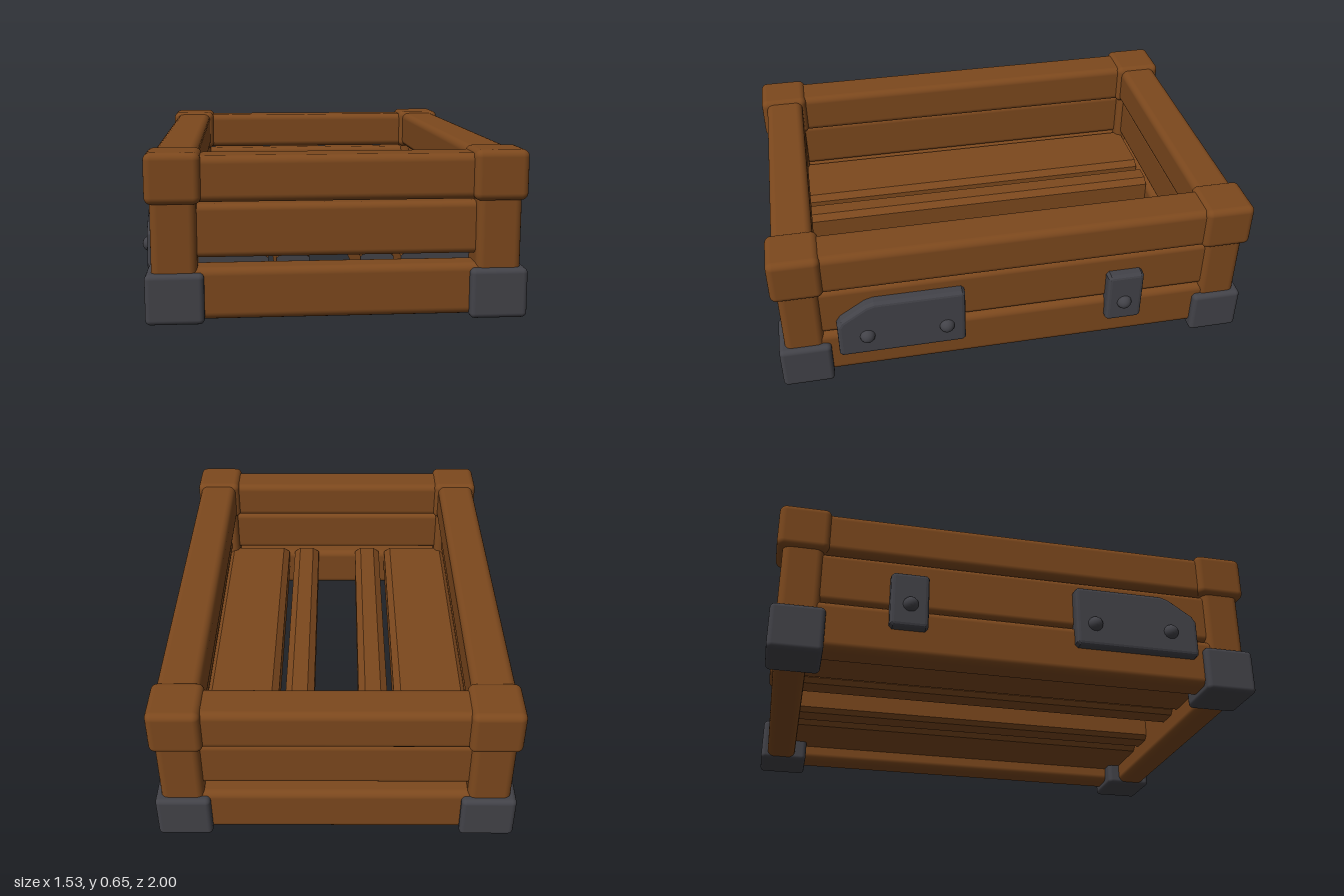
import * as THREE from 'three';
import { RoundedBoxGeometry } from 'three/addons/geometries/RoundedBoxGeometry.js';

export function createModel() {
  const crate = new THREE.Group();
  crate.name = 'crate';
  const wood = new THREE.MeshStandardMaterial({ color: 0x7c481d });
  wood.name = 'brown wood';
  const iron = new THREE.MeshStandardMaterial({ color: 0x424248 });
  iron.name = 'dark iron';

  const add = (name, geometry, material, x = 0, y = 0, z = 0) => {
    const mesh = new THREE.Mesh(geometry, material);
    mesh.name = name;
    mesh.position.set(x, y, z);
    crate.add(mesh);
    return mesh;
  };
  // Rounded block given by its centre and its height range
  const block = (name, material, x, z, w, d, y0, y1, r) =>
    add(name, new RoundedBoxGeometry(w, y1 - y0, d, 4, r), material, x, (y0 + y1) / 2, z);

  // Corner posts with wooden tops and iron feet
  for (const sx of [-1, 1]) {
    for (const sz of [-1, 1]) {
      block('cornerPost', wood, sx * 0.618, sz * 0.893, 0.174, 0.164, 0.1, 0.56, 0.03);
      block('cornerTop', wood, sx * 0.617, sz * 0.895, 0.21, 0.21, 0.462, 0.656, 0.028);
      block('cornerFoot', iron, sx * 0.617, sz * 0.893, 0.222, 0.214, 0.005, 0.2, 0.02);
    }
  }

  // Long side rails and short end rails: bottom, middle and top
  for (const s of [-1, 1]) {
    block('sideBottomRail', wood, s * 0.634, 0, 0.13, 1.7, 0.035, 0.243, 0.03);
    block('sideMiddleRail', wood, s * 0.63, 0, 0.12, 1.7, 0.245, 0.463, 0.025);
    block('sideTopRail', wood, s * 0.618, 0, 0.174, 1.7, 0.466, 0.645, 0.03);
    block('endBottomRail', wood, 0, s * 0.905, 1.15, 0.13, 0.015, 0.216, 0.03);
    block('endMiddleRail', wood, 0, s * 0.892, 1.15, 0.11, 0.25, 0.456, 0.025);
    block('endTopRail', wood, 0, s * 0.893, 1.15, 0.167, 0.466, 0.641, 0.03);
  }

  // Thick floor slats with chamfered edges and dark ends
  const slat = (x0, x1) => {
    const shape = new THREE.Shape();
    [[x0 + 0.02, 0.1], [x1 - 0.02, 0.1], [x1, 0.12], [x1, 0.222],
      [x1 - 0.03, 0.245], [x0 + 0.03, 0.245], [x0, 0.222], [x0, 0.12]]
      .forEach(([x, y], i) => (i ? shape.lineTo(x, y) : shape.moveTo(x, y)));
    const geometry = new THREE.ExtrudeGeometry(shape, { depth: 1.68, bevelEnabled: false });
    add('floorSlat', geometry, [iron, wood], 0, 0, -0.84);
  };
  slat(0.26, 0.59);
  slat(0.1, 0.23);
  slat(-0.23, -0.1);
  slat(-0.59, -0.26);

  // Iron side plates, outlined in z and y
  const plateGeometry = (points) => {
    const b = 0.016;
    const shape = new THREE.Shape();
    points.forEach(([z, y], i) => (i ? shape.lineTo(z, y) : shape.moveTo(z, y)));
    const geometry = new THREE.ExtrudeGeometry(shape, {
      depth: 0.044, bevelSize: b, bevelThickness: b, bevelOffset: -b, bevelSegments: 3,
    });
    geometry.translate(0, 0, -0.022);
    geometry.rotateY(-Math.PI / 2);
    return geometry;
  };
  const largePlate = plateGeometry([
    [0.225, 0.157], [0.237, 0.145], [0.743, 0.145], [0.755, 0.157], [0.755, 0.305],
    [0.738, 0.332], [0.635, 0.4], [0.6, 0.411], [0.237, 0.411], [0.225, 0.399]]);
  const smallPlate = plateGeometry([
    [-0.54, 0.157], [-0.528, 0.145], [-0.397, 0.145], [-0.385, 0.157],
    [-0.385, 0.373], [-0.397, 0.385], [-0.528, 0.385], [-0.54, 0.373]]);
  const bolt = new THREE.SphereGeometry(0.032, 16, 12);
  for (const s of [-1, 1]) {
    add('largeSidePlate', largePlate, iron, s * 0.699);
    add('smallSidePlate', smallPlate, iron, s * 0.699);
    for (const z of [0.635, 0.305, -0.46]) add('bolt', bolt, iron, s * 0.733, 0.244, z);
  }
  return crate;
}
